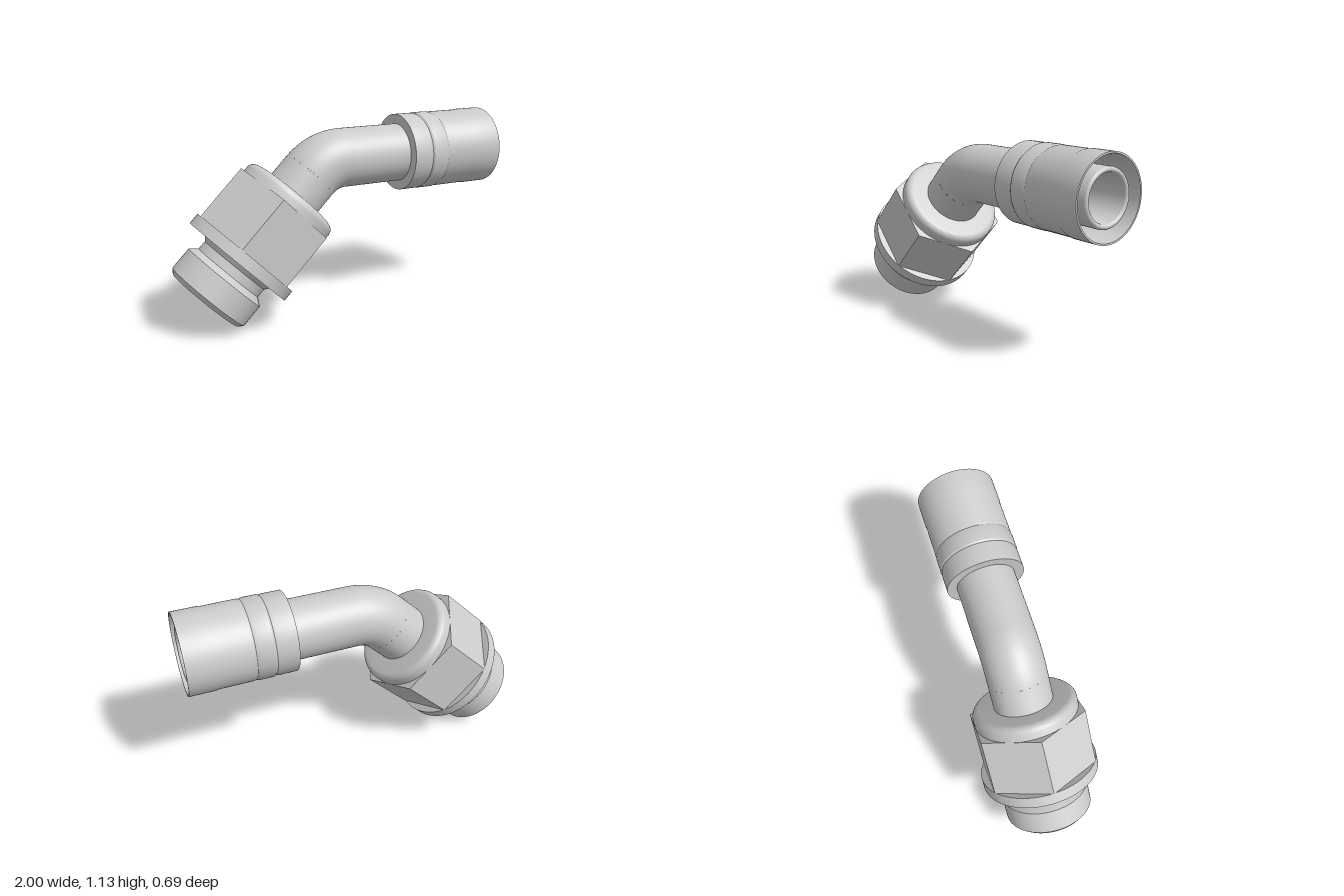
import * as THREE from 'three';
import { toCreasedNormals } from 'three/addons/utils/BufferGeometryUtils.js';

const SEG = 72;
const TUBE = 0.172, BORE = 0.128;   // pipe radii
const BEND = 0.29, BEND_X = 0.02;   // bend radius, x where the bend starts
const AXIS_Y = 0.905;               // height of the horizontal pipe axis

const mat = new THREE.MeshStandardMaterial({ color: 0xcccccc, side: THREE.DoubleSide });

function addMesh(parent, name, geometry) {
  const mesh = new THREE.Mesh(geometry, mat);
  mesh.name = name;
  parent.add(mesh);
  return mesh;
}

// Turned part from [radius, distance along axis] pairs
function turned(parent, name, profile) {
  const pts = profile.map(([r, s]) => new THREE.Vector2(r, s));
  return addMesh(parent, name, toCreasedNormals(new THREE.LatheGeometry(pts, SEG), 0.5));
}

// Rounded corner points for a profile
function fillet(r, s, radius, from, to, n = 6) {
  return Array.from({ length: n + 1 }, (_, i) => {
    const a = from + (to - from) * i / n;
    return [r + radius * Math.cos(a), s + radius * Math.sin(a)];
  });
}

export function createModel() {
  const model = new THREE.Group();
  model.name = 'elbowHoseFitting';

  // Angled end: local y runs up the 45 degree axis
  const angled = new THREE.Group();
  angled.name = 'angledEnd';
  angled.position.set(-0.835, 0.17, 0);
  angled.rotation.z = -Math.PI / 4;
  model.add(angled);

  // Threaded spigot with a conical seat, undercut neck and round flange
  turned(angled, 'spigotAndFlange', [
    [BORE, 0.17], [0.19, 0], [0.234, 0], [0.258, 0.025], [0.258, 0.163],
    [0.215, 0.197], [0.215, 0.25], [0.235, 0.276],
    [0.345, 0.276], [0.345, 0.343], [BORE, 0.343],
  ]);

  // Hexagon with a clearance hole
  const hex = new THREE.Shape();
  for (let i = 0; i < 6; i++) {
    const a = i * Math.PI / 3;
    hex[i ? 'lineTo' : 'moveTo'](0.35 * Math.cos(a), 0.35 * Math.sin(a));
  }
  hex.closePath();
  const hole = new THREE.Path();
  hole.absarc(0, 0, 0.16, 0, Math.PI * 2, true);
  hex.holes.push(hole);
  const hexGeo = new THREE.ExtrudeGeometry(hex, { depth: 0.342, bevelEnabled: false, curveSegments: 24 });
  hexGeo.rotateX(-Math.PI / 2);
  addMesh(angled, 'hexNut', hexGeo).position.y = 0.343;

  // Shoulder with a rounded upper edge
  turned(angled, 'nutShoulder', [
    [0.303, 0.68], ...fillet(0.263, 0.725, 0.04, 0, Math.PI / 2), [0.15, 0.765],
  ]);

  // Lower straight pipe and its bore
  const bendEnd = 0.919;
  turned(angled, 'lowerPipe', [[TUBE, 0.7], [TUBE, bendEnd]]);
  turned(angled, 'lowerBore', [[BORE, bendEnd], [BORE, 0.17]]);

  // Bend: outer and inner skins
  for (const [name, r] of [['bendPipe', TUBE], ['bendBore', BORE]]) {
    const bend = addMesh(model, name, new THREE.TorusGeometry(BEND, r, SEG, 24, Math.PI / 4));
    bend.position.set(BEND_X, AXIS_Y - BEND, 0);
    bend.rotation.z = Math.PI / 2;
  }

  // Hose end: local y runs along +x
  const hoseEnd = new THREE.Group();
  hoseEnd.name = 'hoseEnd';
  hoseEnd.position.y = AXIS_Y;
  hoseEnd.rotation.z = -Math.PI / 2;
  model.add(hoseEnd);

  turned(hoseEnd, 'upperPipe', [[TUBE, BEND_X], [TUBE, 0.41]]);

  // Inner nipple with a rounded tip
  turned(hoseEnd, 'nipple', [
    [0.158, 0.6], ...fillet(0.143, 0.975, 0.015, 0, Math.PI, 10), [BORE, BEND_X],
  ]);

  // Crimp sleeve with shallow grooves and an open mouth
  turned(hoseEnd, 'crimpSleeve', [
    [0.15, 0.395], [0.229, 0.395], [0.229, 0.5], [0.225, 0.518], [0.231, 0.528],
    [0.231, 0.61], [0.225, 0.628], [0.229, 0.64], [0.229, 0.84], [0.232, 0.85],
    [0.232, 1], [0.222, 1], [0.205, 0.86], [0.205, 0.64], [0.15, 0.64],
  ]);

  return model;
}
